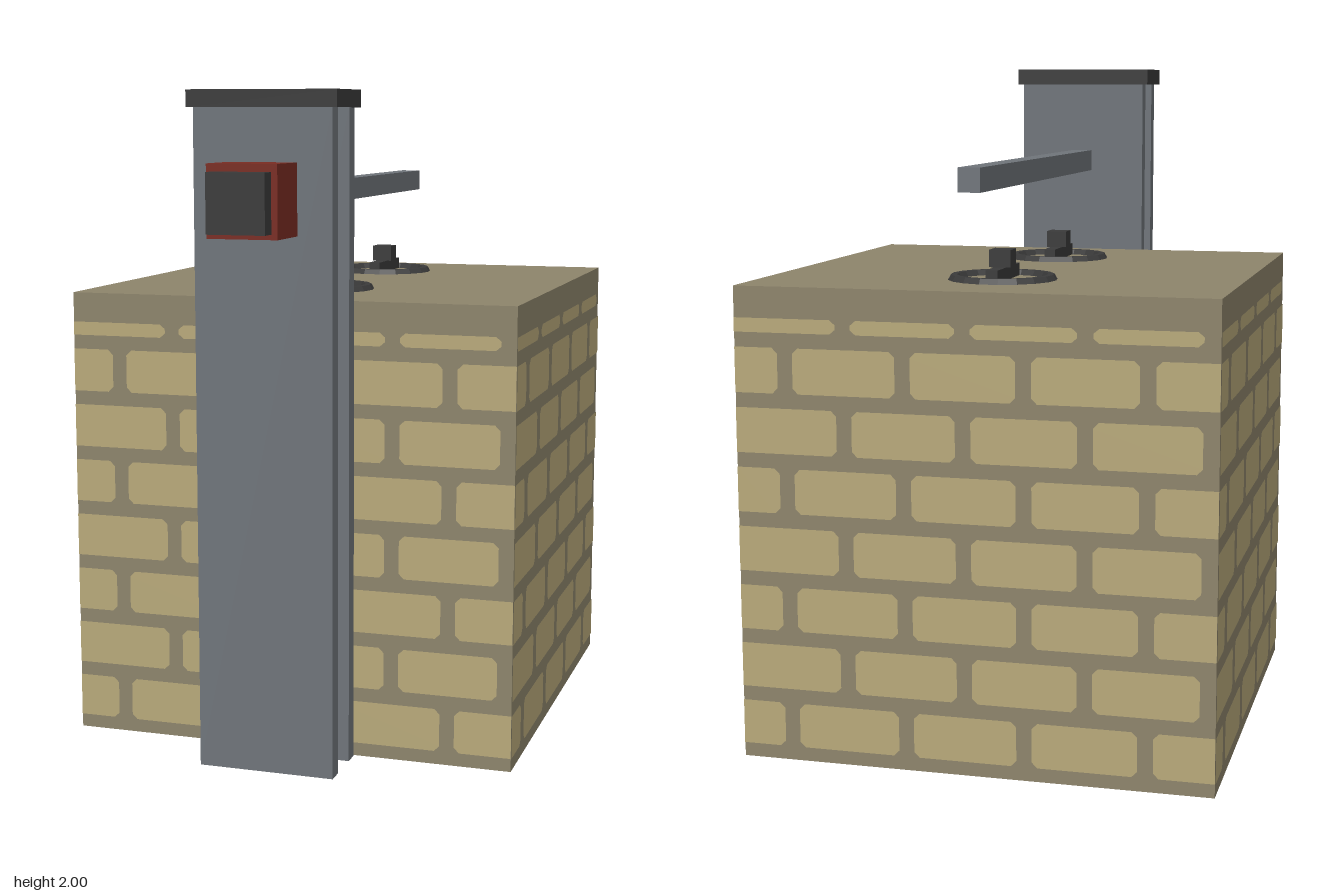
import * as THREE from 'three';
import { mergeGeometries } from 'three/addons/utils/BufferGeometryUtils.js';

const material = (name, color, flatShading = false) => {
  const m = new THREE.MeshStandardMaterial({ color, flatShading });
  m.name = name;
  return m;
};

// Outline of one brick: a rectangle with cut corners, square where it meets a wall edge
function brickShape(x0, x1, y0, y1, half) {
  const c = 0.016;
  const l = x0 <= -half ? 0 : c, r = x1 >= half ? 0 : c;
  const a = Math.max(x0, -half), b = Math.min(x1, half);
  const cy = Math.min(c, (y1 - y0) / 3);
  return new THREE.Shape([
    [a + l, y0], [b - r, y0], [b, y0 + (r && cy)], [b, y1 - (r && cy)],
    [b - r, y1], [a + l, y1], [a, y1 - (l && cy)], [a, y0 + (l && cy)],
  ].map(([x, y]) => new THREE.Vector2(x, y)));
}

// One face of running-bond bricks, centred on the origin and facing +z
function brickFace(size) {
  const half = size / 2, rowPitch = size / 8, pitch = size / 4;
  const shapes = [];
  for (let row = 0; row < 8; row++) {
    const y0 = -half + row * rowPitch + 0.043;
    const y1 = row === 7 ? -half + 1.3 : y0 + 0.131;
    const offset = row % 2 === 0 ? -pitch / 2 : 0;
    for (let k = 0; k < 5; k++) {
      const x0 = -half + offset + k * pitch;
      if (x0 > half - 0.02) continue;
      shapes.push(brickShape(x0, x0 + pitch - 0.045, y0, y1, half));
    }
  }
  return mergeGeometries(shapes.map((s) => new THREE.ShapeGeometry(s)));
}

export function createModel() {
  const model = new THREE.Group();
  model.name = 'brickTankWithHoist';

  const mortar = material('mortar', 0x8e856c);
  const brick = material('brick', 0xb9aa7b);
  const steel = material('steel', 0x70757b);
  const dark = material('darkIron', 0x3b3b3b, true);
  const red = material('redPaint', 0x7a2c22);

  const add = (parent, name, geometry, mat) => {
    const mesh = new THREE.Mesh(geometry, mat);
    mesh.name = name;
    parent.add(mesh);
    return mesh;
  };
  // Box given by its lower and upper corners
  const box = (parent, name, mat, x0, x1, y0, y1, z0, z1) => {
    const mesh = add(parent, name, new THREE.BoxGeometry(x1 - x0, y1 - y0, z1 - z0), mat);
    mesh.position.set((x0 + x1) / 2, (y0 + y1) / 2, (z0 + z1) / 2);
    return mesh;
  };

  // Brick block: mortar core with brick faces on four sides and underneath
  const size = 1.39, half = size / 2, zMid = -0.216, gap = 0.002;
  const block = new THREE.Group();
  block.name = 'brickBlock';
  model.add(block);
  box(block, 'mortarCore', mortar, -half, half, gap, size, zMid - half, zMid + half);
  const face = brickFace(size);
  for (let i = 0; i < 4; i++) {
    const g = face.clone().translate(0, 0, half + gap).rotateY((i * Math.PI) / 2);
    add(block, 'brickWall', g, brick).position.set(0, half, zMid);
  }
  const under = face.clone().rotateX(Math.PI / 2);
  add(block, 'brickUnderside', under, brick).position.set(0, 0, zMid);

  // I-beam column in front of the block
  const column = new THREE.Group();
  column.name = 'column';
  model.add(column);
  box(column, 'frontFlange', steel, -0.208, 0.208, 0, 1.95, 0.64, 0.69);
  box(column, 'backFlange', steel, -0.208, 0.208, 0, 1.95, 0.481, 0.53);
  box(column, 'web', steel, -0.025, 0.025, 0, 1.95, 0.53, 0.64);
  box(column, 'columnCap', dark, -0.225, 0.225, 1.95, 2, 0.473, 0.703);

  // Boom reaching back over the block
  box(model, 'boom', steel, -0.032, 0.032, 1.66, 1.728, -0.91, 0.64);

  // Motor box on the column front
  box(model, 'motorHousing', red, -0.104, 0.104, 1.59, 1.797, 0.69, 0.858);
  box(model, 'motorCover', dark, -0.086, 0.086, 1.605, 1.775, 0.858, 0.91);

  // Two handles on top: ring, cross bar and knob
  for (const z of [0.13, -0.565]) {
    const handle = new THREE.Group();
    handle.name = 'topHandle';
    handle.position.set(0, size, z);
    model.add(handle);
    const ring = new THREE.TorusGeometry(0.142, 0.018, 6, 18).rotateX(Math.PI / 2);
    add(handle, 'ring', ring, dark);
    box(handle, 'crossBar', dark, -0.018, 0.018, 0, 0.037, -0.122, 0.122);
    box(handle, 'knob', dark, -0.032, 0.032, 0.037, 0.088, -0.032, 0.032);
  }

  return model;
}
